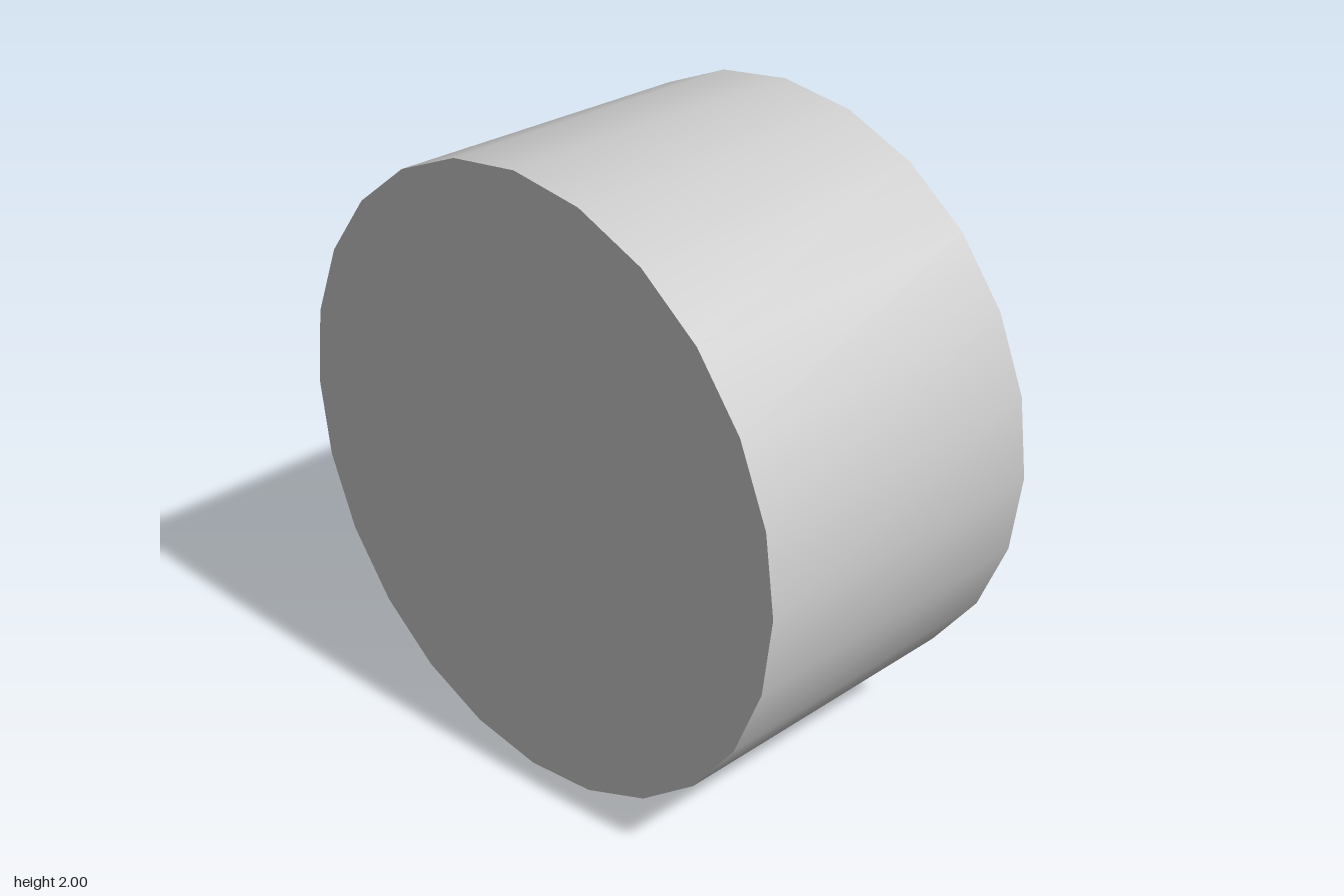
import * as THREE from 'three';
import { toCreasedNormals } from 'three/addons/utils/BufferGeometryUtils.js';

const material = new THREE.MeshStandardMaterial({ color: 0xcccccc });

// Revolve [radius, x] points about the x axis; rising x faces outward, falling x inward
function revolve(name, points, sides) {
  const profile = points.map(([r, x]) => new THREE.Vector2(r, x));
  const lathe = new THREE.LatheGeometry(profile, sides).rotateZ(-Math.PI / 2);
  const mesh = new THREE.Mesh(toCreasedNormals(lathe, 0.64), material);
  mesh.name = name;
  return mesh;
}

function polygon(radius, sides) {
  return Array.from({ length: sides }, (_, i) => {
    const a = (i / sides) * Math.PI * 2;
    return new THREE.Vector2(radius * Math.cos(a), radius * Math.sin(a));
  });
}

// Flat ring facing +x between two polygons with different side counts
function ring(name, x, outerR, outerSides, innerR, innerSides) {
  const shape = new THREE.Shape(polygon(outerR, outerSides));
  shape.holes.push(new THREE.Path(polygon(innerR, innerSides)));
  const mesh = new THREE.Mesh(new THREE.ShapeGeometry(shape).rotateY(Math.PI / 2), material);
  mesh.name = name;
  mesh.position.x = x;
  return mesh;
}

export function createModel() {
  const model = new THREE.Group();
  model.name = 'wheel';

  const half = 0.55, floor = -0.5, hubEnd = 0.28;

  // Drum: closed at -x, hollow and open at +x
  const drum = new THREE.Group();
  drum.name = 'drum';
  drum.add(
    revolve('outerShell', [[0, -half], [1, -half], [1, half]], 24),
    revolve('innerShell', [[0.955, half], [0.955, floor], [0, floor]], 22),
    ring('rimEdge', half, 1, 24, 0.955, 22),
  );

  // Axle hub: grooved tube standing on the drum floor
  const hub = new THREE.Group();
  hub.name = 'hub';
  hub.add(
    revolve('hubSleeve', [
      [0.172, floor], [0.172, -0.08], [0.142, -0.02],
      [0.142, 0.03], [0.172, 0.07], [0.172, hubEnd],
    ], 12),
    revolve('hubBore', [[0.11, hubEnd], [0.11, floor + 0.01], [0, floor + 0.01]], 10),
    ring('hubEdge', hubEnd, 0.172, 12, 0.11, 10),
  );

  model.add(drum, hub);
  model.position.y = 1;
  const root = new THREE.Group();
  root.add(model);
  return root;
}
